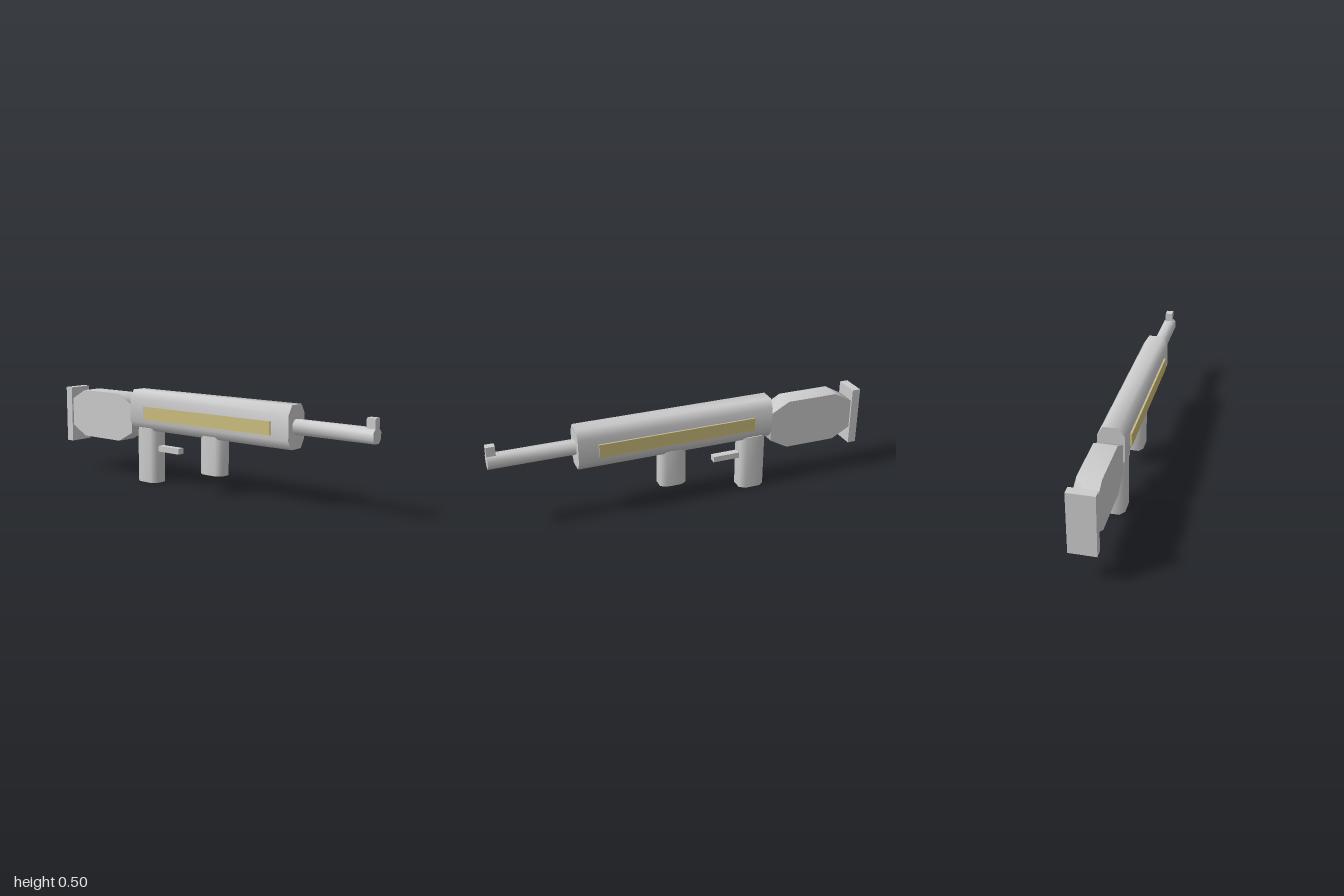
import * as THREE from 'three';
import { mergeGeometries } from 'three/addons/utils/BufferGeometryUtils.js';

// Eight-sided bar along z: w by h with corners cut by the fraction c,
// smooth normals around the sides and flat end caps.
function chamferedBar(w, h, depth, c) {
  const x = w / 2, y = h / 2, cx = w * c, cy = h * c, d = depth / 2;
  const ring = [
    [x, -y + cy], [x, y - cy], [x - cx, y], [-x + cx, y],
    [-x, y - cy], [-x, -y + cy], [-x + cx, -y], [x - cx, -y],
  ];
  const n = ring.length, pos = [], uv = [], index = [];
  ring.forEach(([px, py], i) => {
    pos.push(px, py, d, px, py, -d);
    uv.push(i / n, 1, i / n, 0);
    const a = 2 * i, b = 2 * ((i + 1) % n);
    index.push(a, a + 1, b, b, a + 1, b + 1);
  });
  const sides = new THREE.BufferGeometry();
  sides.setAttribute('position', new THREE.Float32BufferAttribute(pos, 3));
  sides.setAttribute('uv', new THREE.Float32BufferAttribute(uv, 2));
  sides.setIndex(index);
  sides.computeVertexNormals();

  const shape = new THREE.Shape(ring.map(([px, py]) => new THREE.Vector2(px, py)));
  const front = new THREE.ShapeGeometry(shape).translate(0, 0, d);
  const back = new THREE.ShapeGeometry(shape).rotateY(Math.PI).translate(0, 0, -d);
  return mergeGeometries([sides, front, back]);
}

export function createModel() {
  const group = new THREE.Group();
  const grey = new THREE.MeshStandardMaterial({ color: 0xcccccc });
  grey.name = 'light grey';
  const yellow = new THREE.MeshStandardMaterial({ color: 0xccbd7e });
  yellow.name = 'dull yellow';

  // Each part fills the extents x0..x1, y0..y1 and -z..z.
  function add(name, [x0, x1], [y0, y1], z, axis = null, cut = 0.21, material = grey) {
    const w = x1 - x0, h = y1 - y0, d = 2 * z;
    let geometry;
    if (axis === 'x') geometry = chamferedBar(d, h, w, cut).rotateY(Math.PI / 2);
    else if (axis === 'y') geometry = chamferedBar(w, d, h, cut).rotateX(-Math.PI / 2);
    else if (axis === 'z') geometry = chamferedBar(w, h, d, cut);
    else geometry = new THREE.BoxGeometry(w, h, d);
    const mesh = new THREE.Mesh(geometry, material);
    mesh.name = name;
    mesh.position.set((x0 + x1) / 2, (y0 + y1) / 2, 0);
    group.add(mesh);
  }

  // Body and barrel
  add('body', [-0.478, 0.568], [0.287, 0.502], 0.067, 'x');
  add('barrel', [0.56, 1], [0.36, 0.432], 0.035, 'x', 0.27);
  add('frontSight', [0.955, 1], [0.42, 0.478], 0.019);

  // Stock and its end plate
  add('stock', [-0.957, -0.478], [0.208, 0.472], 0.057, 'z');
  add('buttPlate', [-1, -0.955], [0.169, 0.481], 0.067);

  // Grips and trigger bar
  add('rearGrip', [-0.455, -0.315], [0, 0.3], 0.053, 'y');
  add('frontGrip', [-0.007, 0.135], [0.097, 0.3], 0.047, 'y');
  add('triggerBar', [-0.32, -0.17], [0.173, 0.204], 0.019);

  // Coloured strip showing on both sides of the body
  add('sideStrip', [-0.375, 0.465], [0.352, 0.42], 0.0765, null, 0, yellow);

  return group;
}
